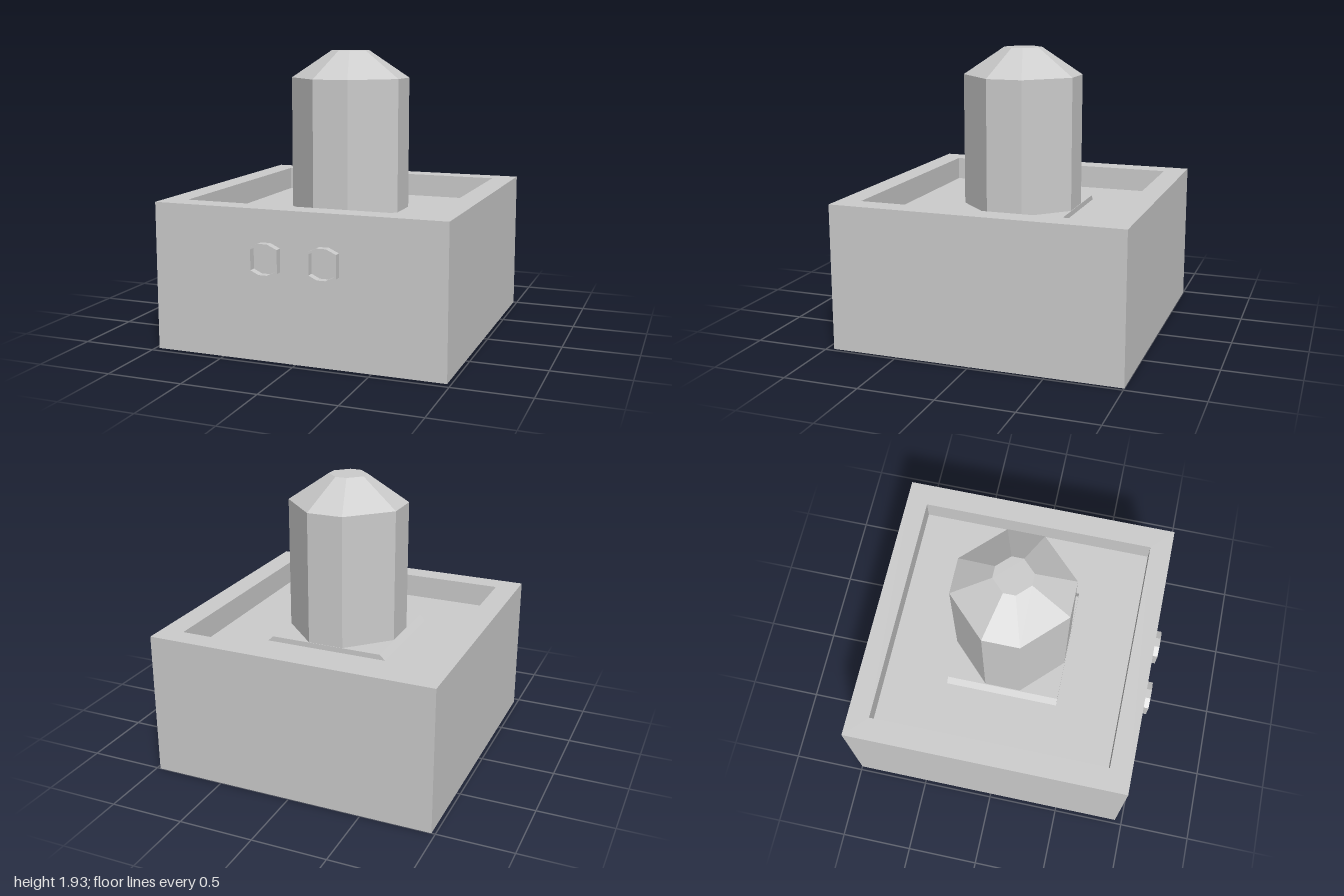
import * as THREE from 'three';

const material = new THREE.MeshStandardMaterial({ color: 0xcccccc, flatShading: true, side: THREE.DoubleSide });

function addMesh(parent, name, geometry) {
  const mesh = new THREE.Mesh(geometry, material);
  mesh.name = name;
  parent.add(mesh);
  return mesh;
}

// Closed solid through a stack of cross-sections, each counter-clockwise seen from above
function loft(rings) {
  const pos = [];
  const tri = (a, b, c) => pos.push(...a, ...b, ...c);
  const n = rings[0].length;
  const last = rings[rings.length - 1];
  for (let r = 0; r < rings.length - 1; r++) {
    const a = rings[r], b = rings[r + 1];
    for (let i = 0; i < n; i++) {
      const j = (i + 1) % n;
      tri(a[i], a[j], b[j]);
      tri(a[i], b[j], b[i]);
    }
  }
  for (let i = 1; i < n - 1; i++) {
    tri(rings[0][0], rings[0][i + 1], rings[0][i]);
    tri(last[0], last[i], last[i + 1]);
  }
  const geometry = new THREE.BufferGeometry();
  geometry.setAttribute('position', new THREE.Float32BufferAttribute(pos, 3));
  geometry.computeVertexNormals();
  return geometry;
}

const rect = (hx, hz, y) => [[hx, y, hz], [hx, y, -hz], [-hx, y, -hz], [-hx, y, hz]];

// Rectangle with cut corners; fx and fz are the half lengths of the remaining flats
const cutRect = (hx, hy, fx, fy) => [
  [hx, -fy], [hx, fy], [fx, hy], [-fx, hy], [-hx, fy], [-hx, -fy], [-fx, -hy], [fx, -hy],
].map(([x, y]) => new THREE.Vector2(x, y));

const octagon = (scale, y) =>
  cutRect(0.385, 0.385, 0.122, 0.122).map((p) => [p.x * scale, y, -p.y * scale]);

export function createModel() {
  const model = new THREE.Group();
  model.name = 'pedestalWithPost';

  const body = new THREE.Group();
  body.name = 'body';
  body.position.z = -0.025;
  model.add(body);

  // Box base with a shallow tray sunk into its top
  const floorY = 0.812;
  addMesh(body, 'trayBase', loft([
    rect(0.975, 0.975, 0), rect(0.975, 0.975, 0.975),
    rect(0.82, 0.825, 0.975), rect(0.82, 0.825, floorY),
  ]));

  // Plate under the post, sloped on its left and right sides
  const plateY = 0.848;
  addMesh(body, 'postPlate', loft([rect(0.428, 0.388, floorY), rect(0.39, 0.388, plateY)]));

  // Eight-sided post with a tapered cap
  addMesh(body, 'post', loft([octagon(1, plateY), octagon(1, 1.745), octagon(0.322, 1.93)]));

  // Pair of raised rims on the front
  for (const [name, x] of [['leftButtonRim', 0.195], ['rightButtonRim', -0.195]]) {
    const shape = new THREE.Shape(cutRect(0.097, 0.105, 0.032, 0.075));
    shape.holes.push(new THREE.Path(cutRect(0.083, 0.092, 0.028, 0.066)));
    const rim = addMesh(model, name, new THREE.ExtrudeGeometry(shape, { depth: 0.05, bevelEnabled: false }));
    rim.position.set(x, 0.66, 0.95);
  }

  return model;
}
